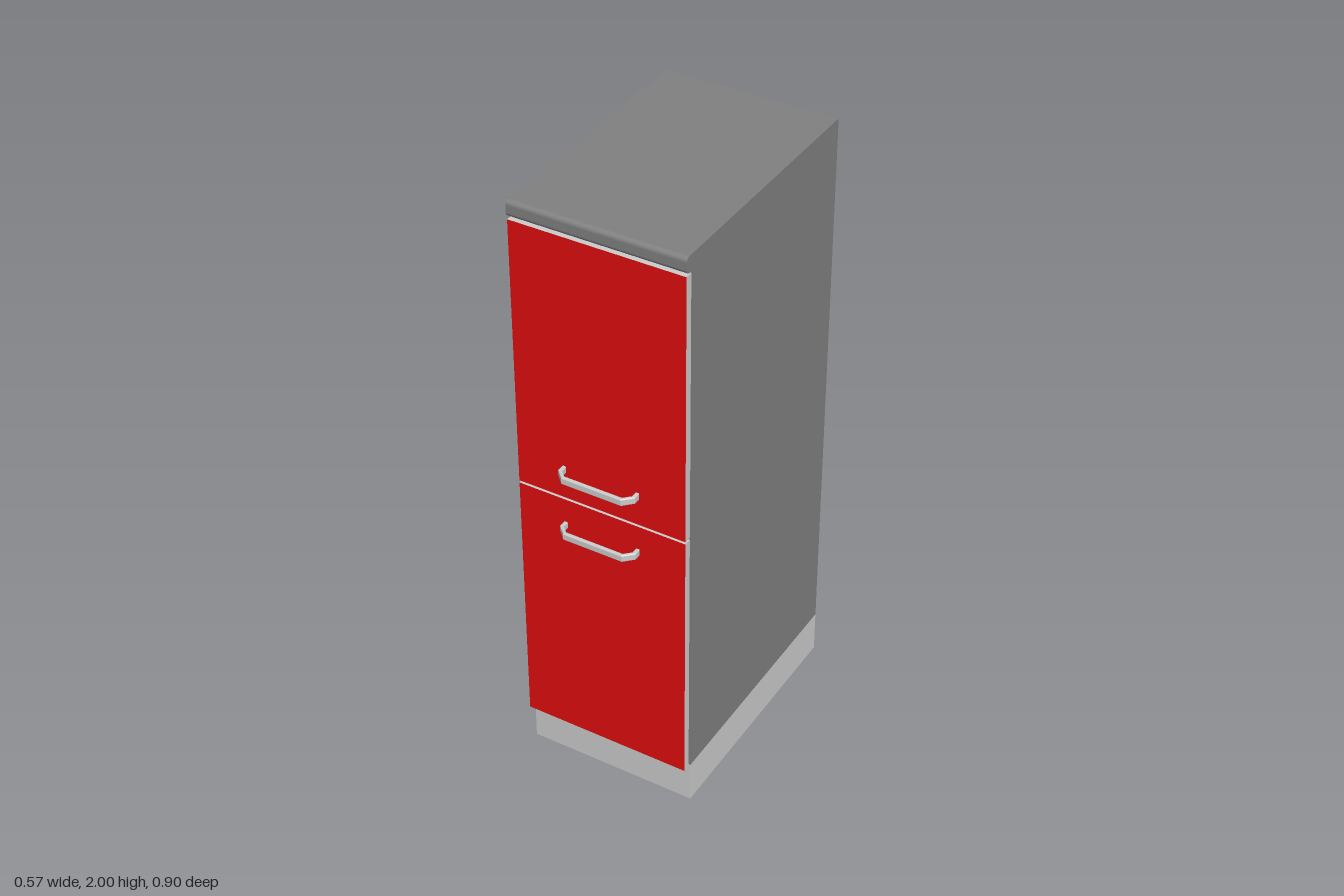
import * as THREE from 'three';

const grey = new THREE.MeshStandardMaterial({ color: 0xcccccc });
const dark = new THREE.MeshStandardMaterial({ color: 0x808080 });
const red = new THREE.MeshStandardMaterial({ color: 0xe00e0e });

const HALF_W = 0.283, BACK = -0.45, FRONT = 0.365, PLINTH_TOP = 0.145;

// Box given by its limits on each axis
function box(name, material, [x0, x1], [y0, y1], [z0, z1]) {
  const mesh = new THREE.Mesh(new THREE.BoxGeometry(x1 - x0, y1 - y0, z1 - z0), material);
  mesh.position.set((x0 + x1) / 2, (y0 + y1) / 2, (z0 + z1) / 2);
  mesh.name = name;
  return mesh;
}

// Cabinet body with the rounded worktop nose, drawn as a side profile (z, y)
function carcass() {
  const nose = 0.4, r = 0.015, under = 1.947;
  const s = new THREE.Shape();
  s.moveTo(BACK, PLINTH_TOP);
  s.lineTo(FRONT, PLINTH_TOP);
  s.lineTo(FRONT, under);
  s.lineTo(nose - r, under);
  s.absarc(nose - r, under + r, r, -Math.PI / 2, 0, false);
  s.absarc(nose - r, 2 - r, r, 0, Math.PI / 2, false);
  s.lineTo(BACK, 2);
  s.closePath();
  const geo = new THREE.ExtrudeGeometry(s, { depth: 2 * HALF_W, bevelEnabled: false, curveSegments: 6 });
  geo.rotateY(-Math.PI / 2); // profile axis becomes -z -> flipped below by a half turn
  geo.rotateY(Math.PI);
  geo.translate(-HALF_W, 0, 0);
  const mesh = new THREE.Mesh(geo, dark);
  mesh.name = 'cabinetBody';
  // the profile must run towards +z
  geo.computeBoundingBox();
  if (geo.boundingBox.max.z > 0.42) {
    geo.rotateY(Math.PI);
    geo.computeBoundingBox();
  }
  geo.translate(-(geo.boundingBox.min.x + geo.boundingBox.max.x) / 2, 0, 0);
  return mesh;
}

// Flat bar handle with chamfered corners, drawn in plan (x, z) and bevelled
function handle(y) {
  const t = 0.013, b = 0.004, height = 0.024;
  const bracket = (w, c, z) => [[-w, 0.395], [-w, z - c], [-w + c, z], [w - c, z], [w, z - c], [w, 0.395]];
  const outer = bracket(0.129 - b, 0.027, 0.45 - b);
  const inner = bracket(0.129 - t + b, 0.022, 0.45 - t + b).reverse();
  const shape = new THREE.Shape([...outer, ...inner].map(([x, z]) => new THREE.Vector2(x, z)));
  const geo = new THREE.ExtrudeGeometry(shape, {
    depth: height - 2 * b, bevelThickness: b, bevelSize: b, bevelSegments: 3,
  });
  geo.translate(0, 0, b - height / 2);
  geo.rotateX(Math.PI / 2);
  geo.translate(0, y, 0);
  const mesh = new THREE.Mesh(geo, grey);
  mesh.name = 'handle';
  return mesh;
}

// Door with a coloured front face and plain edges, plus its handle
function door(name, y0, y1, handleY) {
  const group = new THREE.Group();
  group.name = name;
  const faces = [grey, grey, grey, grey, red, grey];
  group.add(box('doorPanel', faces, [-0.281, 0.281], [y0, y1], [0.373, 0.398]), handle(handleY));
  return group;
}

export function createModel() {
  const model = new THREE.Group();
  model.name = 'tallCabinet';
  model.add(
    box('plinth', grey, [-HALF_W, HALF_W], [0, PLINTH_TOP], [BACK, FRONT]),
    carcass(),
    door('lowerDoor', 0.146, 1.039, 0.945),
    door('upperDoor', 1.047, 1.94, 1.15),
  );
  return model;
}
